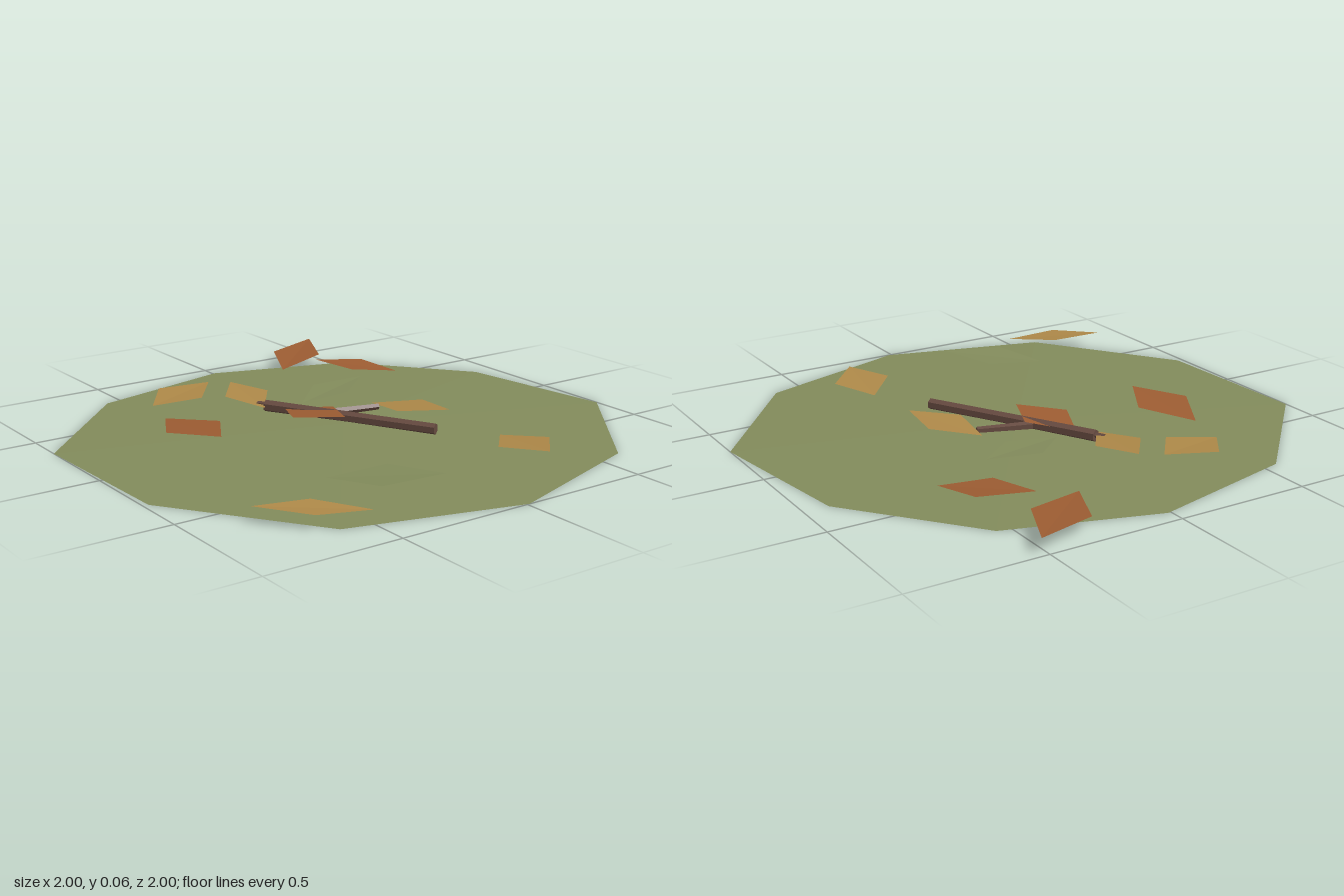
import * as THREE from 'three';

const mat = (name, color) => {
  const m = new THREE.MeshStandardMaterial({ color, flatShading: true, side: THREE.DoubleSide });
  m.name = name;
  return m;
};

// Builds a surface from corner points and triangle indices
function surface(name, points, index, material) {
  const g = new THREE.BufferGeometry();
  g.setAttribute('position', new THREE.Float32BufferAttribute(points.flat(), 3));
  g.setIndex(index);
  g.computeVertexNormals();
  const mesh = new THREE.Mesh(g, material);
  mesh.name = name;
  return mesh;
}

// Tapered stick between two points
function stick(name, from, to, r0, r1, sides, material) {
  const a = new THREE.Vector3(...from), b = new THREE.Vector3(...to);
  const dir = b.clone().sub(a);
  const mesh = new THREE.Mesh(new THREE.CylinderGeometry(r1, r0, dir.length(), sides), material);
  mesh.position.copy(a).add(b).multiplyScalar(0.5);
  mesh.quaternion.setFromUnitVectors(new THREE.Vector3(0, 1, 0), dir.normalize());
  mesh.name = name;
  return mesh;
}

export function createModel() {
  const model = new THREE.Group();
  model.name = 'leafLitter';
  const moss = mat('moss green', 0x828b5b);
  const rust = mat('rust leaf', 0x9c5c32);
  const gold = mat('golden leaf', 0xad8848);
  const bark = mat('bark brown', 0x65493f);

  // Ground patch: irregular, very shallow fan
  const rim = [[0.3, -1], [0.8, -0.61], [1, -0.01], [0.83, 0.61], [0.3, 0.98],
    [-0.35, 1], [-0.8, 0.56], [-0.94, -0.01], [-0.77, -0.55], [-0.32, -0.91]];
  const fan = [];
  rim.forEach((_, i) => fan.push(0, ((i + 1) % rim.length) + 1, i + 1));
  model.add(surface('groundPatch', [[0, 0.02, 0], ...rim.map(([x, z]) => [x, 0, z])], fan, moss));

  // Leaves: raised tip, side, low tip, side (x, z), clockwise from above
  const leaves = [
    [rust, [-1, -0.53], [-0.78, -0.43], [-0.71, -0.2], [-0.93, -0.3]],
    [rust, [-0.69, -0.35], [-0.61, -0.53], [-0.43, -0.57], [-0.5, -0.4]],
    [rust, [-0.01, 0.52], [-0.19, 0.64], [-0.39, 0.53], [-0.2, 0.41]],
    [rust, [0.05, 0.03], [-0.08, 0.17], [-0.25, 0.1], [-0.11, -0.03]],
    [gold, [-0.6, 0.12], [-0.44, 0.05], [-0.29, 0.16], [-0.46, 0.23]],
    [gold, [-0.65, 0.19], [-0.5, 0.31], [-0.56, 0.49], [-0.71, 0.38]],
    [gold, [0.2, -0.34], [0.08, -0.19], [-0.11, -0.21], [0.01, -0.36]],
    [gold, [0.78, -0.3], [0.62, -0.21], [0.48, -0.34], [0.64, -0.43]],
    [gold, [0.64, 0.81], [0.67, 0.61], [0.83, 0.48], [0.8, 0.68]],
    [moss, [-0.37, -0.35], [-0.24, -0.19], [-0.26, 0.01], [-0.4, -0.14]],
    [moss, [0.75, 0.13], [0.71, 0.36], [0.5, 0.43], [0.54, 0.21]],
  ];
  const heights = [0.061, 0.052, 0.036, 0.052];
  leaves.forEach(([material, ...corners], i) => {
    const points = corners.map(([x, z], k) => [x, heights[k], z]);
    model.add(surface('leaf' + (i + 1), points, [0, 2, 1, 0, 3, 2], material));
  });

  // Fallen twig with a side shoot and a thin broken end
  const twig = new THREE.Group();
  twig.name = 'twig';
  twig.add(stick('mainTwig', [-0.32, 0.034, 0.135], [0.29, 0.034, -0.2], 0.023, 0.021, 6, bark));
  twig.add(stick('sideShoot', [-0.11, 0.034, 0], [-0.055, 0.037, -0.2], 0.016, 0.012, 5, bark));
  twig.add(stick('brokenEnd', [-0.35, 0.038, 0.153], [-0.28, 0.036, 0.11], 0.01, 0.013, 5, bark));
  model.add(twig);

  return model;
}
